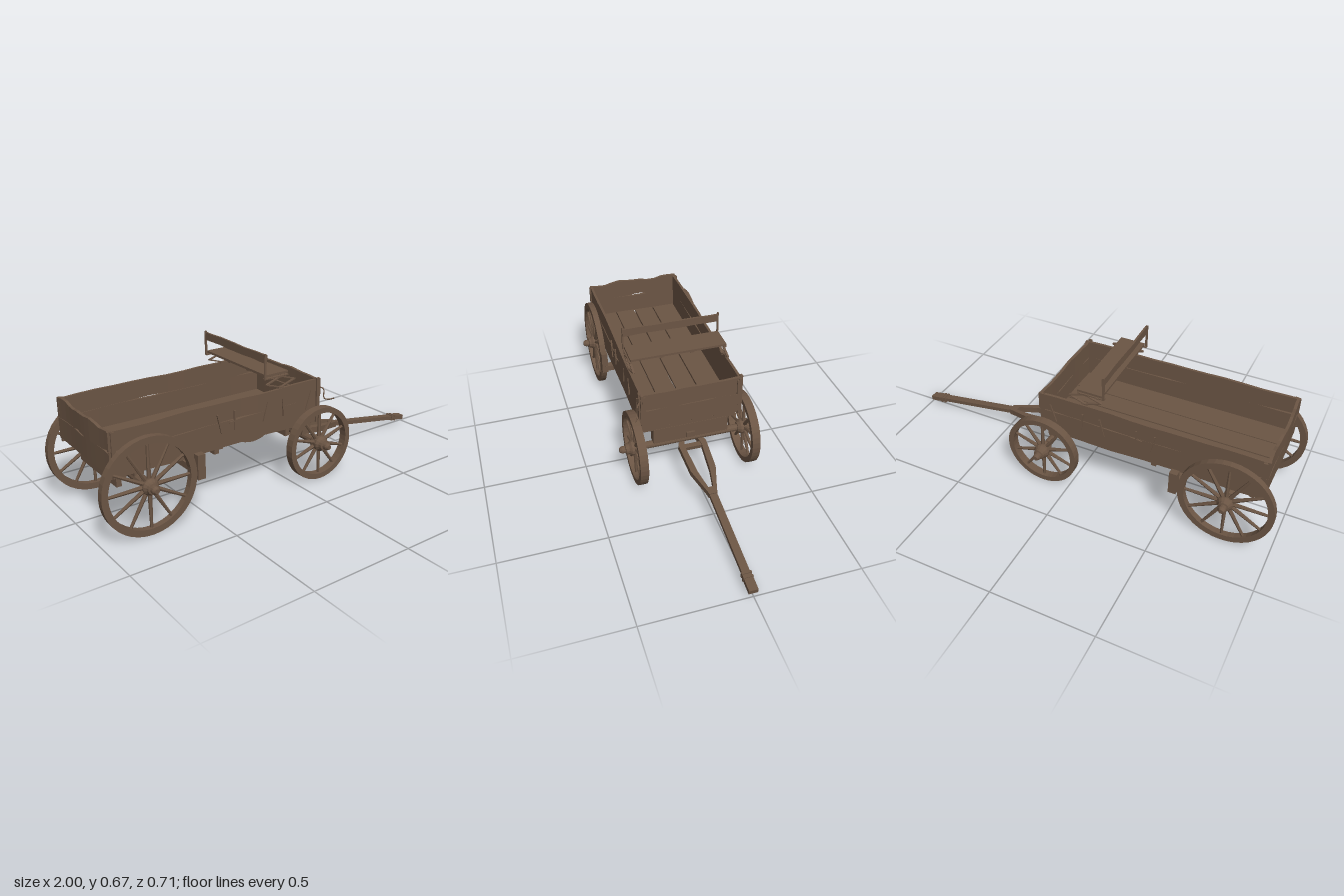
import * as THREE from 'three';

const wood = new THREE.MeshStandardMaterial({ color: 0x6b5544, flatShading: true });
wood.name = 'weatheredBrown';

function add(parent, name, geometry) {
  const mesh = new THREE.Mesh(geometry, wood);
  mesh.name = name;
  parent.add(mesh);
  return mesh;
}

// Axis-aligned block from its centre and size
function block(parent, name, x, y, z, w, h, d) {
  const m = add(parent, name, new THREE.BoxGeometry(w, h, d));
  m.position.set(x, y, z);
  return m;
}

// Straight bar between two points
function bar(parent, name, a, b, w, h) {
  const p = new THREE.Vector3(...a), q = new THREE.Vector3(...b);
  const m = add(parent, name, new THREE.BoxGeometry(w, h, p.distanceTo(q)));
  m.position.copy(p).add(q).multiplyScalar(0.5);
  m.lookAt(q);
  return m;
}

// Rough-sawn board along x with slightly wandering edges
function plank(parent, name, x, y, z, len, h, t, seed, amp = 0.004) {
  const g = new THREE.BoxGeometry(len, h, t, 12, 1, 1);
  const p = g.attributes.position;
  for (let i = 0; i < p.count; i++) {
    const px = p.getX(i) / len, top = p.getY(i) > 0 ? 1 : 0;
    p.setY(i, p.getY(i) + amp * (Math.sin(px * 11 + seed * 2.3 + top * 1.7) * 0.6 + Math.sin(px * 23 + seed) * 0.4));
    p.setZ(i, p.getZ(i) + amp * 0.5 * Math.sin(px * 8 + seed * 3));
  }
  g.computeVertexNormals();
  const m = add(parent, name, g);
  m.position.set(x, y, z);
  return m;
}

function lathe(parent, name, pts, segments) {
  const g = new THREE.LatheGeometry(pts.map(p => new THREE.Vector2(...p)), segments);
  g.rotateX(Math.PI / 2);
  return add(parent, name, g);
}

// Spoked wheel in the xy plane, hub cap facing +z
function wheel(name, r, rim, thick, spokes, hubOut) {
  const g = new THREE.Group();
  g.name = name;
  const t = thick / 2, i = r - rim;
  lathe(g, 'rim', [[i, -t], [r, -t], [r, t], [i, t], [i, -t]], 40);
  lathe(g, 'hub', [[0, -0.035], [0.024, -0.035], [0.036, -t], [0.038, t], [0.028, t + 0.012],
    [0.026, hubOut - 0.03], [0.018, hubOut - 0.028], [0.018, hubOut - 0.012], [0.011, hubOut], [0, hubOut]], 14);
  for (let k = 0; k < spokes; k++) {
    const s = new THREE.CylinderGeometry(0.0065, 0.01, i - 0.02, 6);
    s.translate(0, (i + 0.03) / 2, 0);
    s.rotateZ(k / spokes * Math.PI * 2);
    add(g, 'spoke', s);
  }
  return g;
}

function buildBody(root) {
  const body = new THREE.Group();
  body.name = 'wagonBox';
  root.add(body);

  // Floor boards and joists
  [-0.172, -0.054, 0.055, 0.172].forEach((z, i) =>
    block(body, 'floorBoard', -0.385, 0.305, z, 1.08, 0.014, i % 3 ? 0.102 : 0.122));
  for (const x of [-0.88, -0.41, 0.135]) block(body, 'joist', x, 0.291, 0.01, 0.04, 0.018, 0.46);

  // Side walls of two boards, with straps and corner posts
  for (const s of [-1, 1]) {
    const z = s * 0.24;
    plank(body, 'lowerSideBoard', -0.385, 0.349, z, 1.09, 0.118, 0.013, 2 + s);
    plank(body, 'upperSideBoard', -0.385, 0.454, z, 1.1, 0.088, 0.013, 5 + s);
    [-0.41, -0.33, -0.16, -0.06, 0.09].forEach((x, i) => {
      const lean = [0.01, 0, -0.012, 0.004, -0.015][i];
      bar(body, 'sideStrap', [x + lean, 0.36, s * 0.249], [x - lean, 0.45, s * 0.249], 0.007, 0.007);
    });
    bar(body, 'sideCrossStrap', [-0.36, 0.4, s * 0.249], [-0.3, 0.405, s * 0.249], 0.006, 0.006);
    block(body, 'frontPost', 0.145, 0.395, s * 0.249, 0.018, 0.22, 0.012);
    block(body, 'rearPost', -0.915, 0.395, s * 0.249, 0.018, 0.2, 0.012);
    block(body, 'frontCornerPlate', 0.163, 0.45, s * 0.232, 0.007, 0.08, 0.016);
  }

  // Front board pair and tailgate pair
  for (const [name, x, seed] of [['frontBoard', 0.152, 1], ['tailBoard', -0.928, 4]]) {
    const lower = plank(body, name, x, 0.357, 0, 0.49, 0.1, 0.014, seed);
    const upper = plank(body, name, x, 0.454, 0, 0.495, 0.09, 0.014, seed + 2, seed > 3 ? 0.009 : 0.004);
    lower.rotation.y = upper.rotation.y = Math.PI / 2;
  }

  // Hook on the left front corner
  const curve = new THREE.CatmullRomCurve3([[0.15, 0.46, 0.25], [0.168, 0.45, 0.264], [0.17, 0.405, 0.268],
    [0.19, 0.395, 0.275], [0.215, 0.4, 0.29]].map(p => new THREE.Vector3(...p)));
  add(body, 'cornerHook', new THREE.TubeGeometry(curve, 16, 0.003, 5));
}

function buildSeat(root) {
  const seat = new THREE.Group();
  seat.name = 'driverSeat';
  root.add(seat);
  block(seat, 'seatBoard', -0.092, 0.569, 0.003, 0.125, 0.011, 0.477);
  const back = plank(seat, 'seatBack', -0.157, 0.65, 0.005, 0.484, 0.038, 0.01, 2, 0.002);
  back.rotation.y = Math.PI / 2;
  for (const z of [-0.235, 0.245]) {
    block(seat, 'backPost', -0.161, 0.615, z, 0.01, 0.12, 0.007);
    block(seat, 'seatBracket', -0.098, 0.557, z * 0.98, 0.135, 0.005, 0.014);
  }
  for (const x of [-0.13, -0.05]) block(seat, 'underSeatBar', x, 0.556, 0.005, 0.012, 0.004, 0.49);
  for (const z of [-0.065, 0.088]) block(seat, 'seatCleat', -0.09, 0.558, z, 0.11, 0.007, 0.02);

  // Elliptic leaf springs resting on the side walls
  for (const z of [-0.229, 0.238]) for (const s of [-1, 1]) {
    const pts = [[-0.15, 0], [-0.11, 0.012], [-0.068, 0.027], [-0.026, 0.012], [0.014, 0]]
      .map(([x, y]) => [x, 0.527 + s * y, z]);
    for (let i = 0; i < 4; i++) bar(seat, 'leafSpring', pts[i], pts[i + 1], 0.011, 0.005);
    block(seat, 'springClamp', -0.068, 0.527 + s * 0.026, z, 0.03, 0.007, 0.015);
  }
}

function buildRunningGear(root) {
  const gear = new THREE.Group();
  gear.name = 'runningGear';
  root.add(gear);

  // Wheels and axles
  const sets = [
    { n: 'rear', x: -0.775, y: 0.229, z: 0.27, r: 0.223, rim: 0.03, t: 0.03, spokes: 12, hub: 0.067, axle: 0.024 },
    { n: 'front', x: 0.137, y: 0.187, z: 0.276, r: 0.181, rim: 0.026, t: 0.04, spokes: 10, hub: 0.078, axle: 0.018 },
  ];
  for (const w of sets) {
    for (const s of [1, -1]) {
      const g = wheel(w.n + 'Wheel', w.r, w.rim, w.t, w.spokes, w.hub);
      g.position.set(w.x, w.y, s * w.z);
      if (s < 0) g.rotation.y = Math.PI;
      gear.add(g);
    }
    const axle = add(gear, w.n + 'Axle', new THREE.CylinderGeometry(w.axle, w.axle, w.z * 2, 12));
    axle.rotation.x = Math.PI / 2;
    axle.position.set(w.x, w.y, 0);
  }

  // Bolsters between axles and box
  block(gear, 'frontBolster', 0.132, 0.243, 0.002, 0.05, 0.083, 0.374);
  block(gear, 'rearBolster', -0.775, 0.265, 0, 0.045, 0.045, 0.37);
  block(gear, 'bolsterBracket', 0.16, 0.223, 0.005, 0.014, 0.028, 0.04);
  block(gear, 'frontCrossBeam', 0.033, 0.245, 0, 0.024, 0.07, 0.33);
  block(gear, 'rearCrossBeam', -0.865, 0.25, 0, 0.024, 0.075, 0.35);

  // Reach pole and rear hounds
  bar(gear, 'reachPole', [-0.8, 0.27, 0], [-0.38, 0.267, 0], 0.03, 0.018);
  bar(gear, 'reachPole', [-0.4, 0.268, 0], [0.14, 0.223, 0], 0.03, 0.016);
  for (const s of [-1, 1]) bar(gear, 'rearHound', [-0.86, 0.25, s * 0.14], [-0.4, 0.268, s * 0.02], 0.022, 0.018);

  // Brake beams, hangers and shoes
  block(gear, 'brakeBeam', -0.525, 0.218, 0, 0.035, 0.03, 0.54);
  block(gear, 'brakeCrossBar', -0.41, 0.27, 0, 0.024, 0.032, 0.44);
  for (const s of [-1, 1]) {
    block(gear, 'brakeShoe', -0.53, 0.25, s * 0.272, 0.038, 0.115, 0.032);
    block(gear, 'brakeHanger', -0.525, 0.26, s * 0.15, 0.016, 0.08, 0.016);
    bar(gear, 'brakeRod', [-0.525, 0.278, s * 0.2], [-0.39, 0.278, s * 0.2], 0.012, 0.01);
  }
}

function buildTongue(root) {
  const tongue = new THREE.Group();
  tongue.name = 'tongue';
  tongue.position.set(0.13, 0.168, 0);
  tongue.rotation.z = -0.156;
  root.add(tongue);

  // Forked arms merging into the pole
  const side = [[0, 0.052], [0.04, 0.07], [0.21, 0.062], [0.34, 0.024], [0.36, 0.02]];
  const inner = [[0.32, 0.012], [0.22, 0.03], [0.06, 0.042], [0, 0.03]];
  for (const s of [-1, 1]) {
    const outline = [...side, [0.36, 0], [0.32, 0], ...inner];
    const shape = new THREE.Shape(outline.map(([x, z]) => new THREE.Vector2(x, s * z)));
    const g = new THREE.ExtrudeGeometry(shape, { depth: 0.03, bevelEnabled: false });
    g.rotateX(Math.PI / 2);
    g.translate(0, 0.015, 0);
    add(tongue, 'forkArm', g);
  }
  block(tongue, 'pole', 0.605, 0, 0, 0.53, 0.02, 0.036);
  block(tongue, 'poleTip', 0.835, 0, 0, 0.085, 0.023, 0.042);
  for (const x of [0.79, 0.81]) block(tongue, 'poleBand', x, 0, 0, 0.01, 0.03, 0.046);
  block(tongue, 'forkCrossBar', 0.05, 0, 0, 0.025, 0.02, 0.1);
}

export function createModel() {
  const root = new THREE.Group();
  root.name = 'farmWagon';
  buildBody(root);
  buildSeat(root);
  buildRunningGear(root);
  buildTongue(root);
  return root;
}
